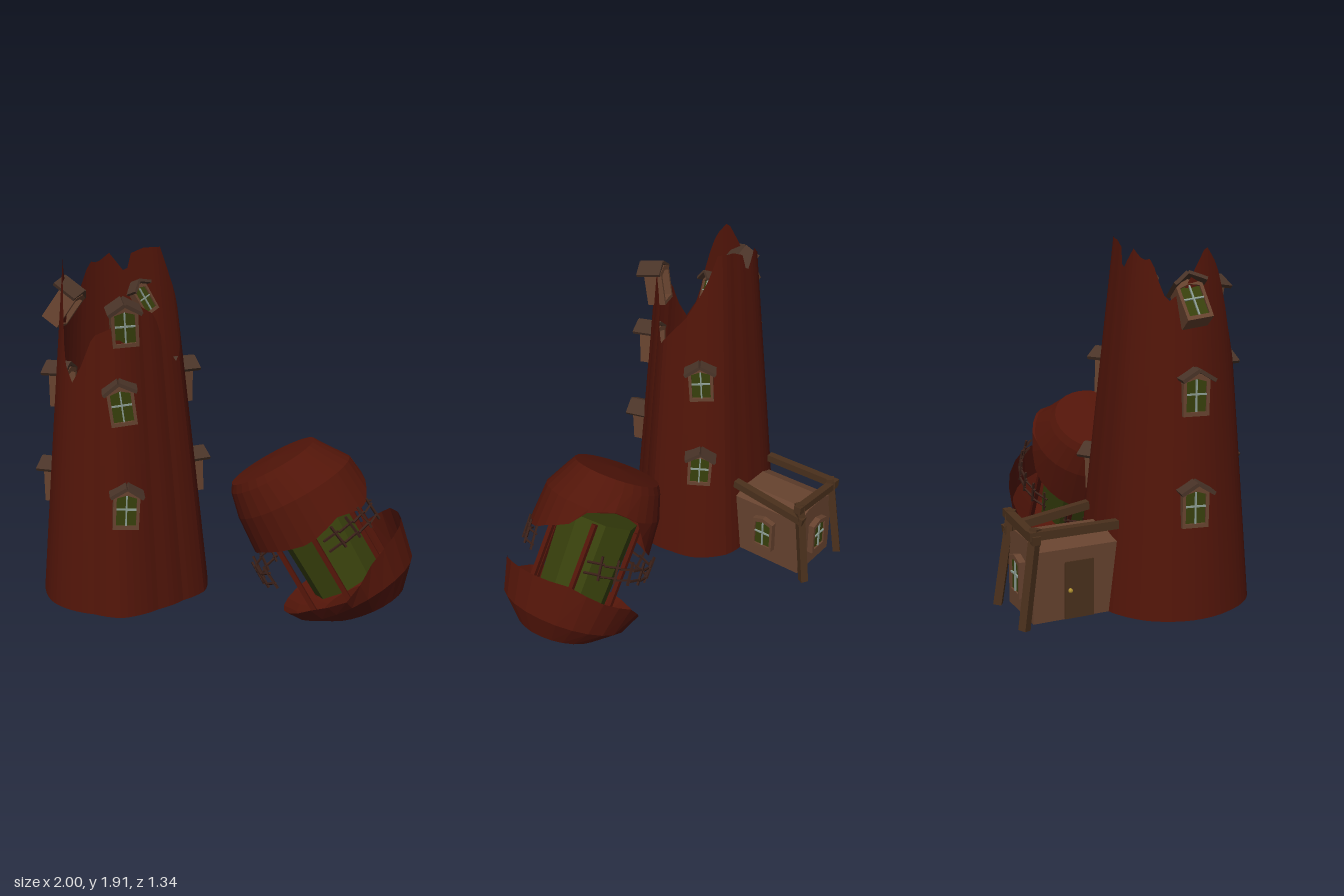
import * as THREE from 'three';

const mat = (color) => new THREE.MeshStandardMaterial({ color, flatShading: true, side: THREE.DoubleSide });
const RED = mat(0x521509), WALL = mat(0x67432f), BEAM = mat(0x4a301c), SHINGLE = mat(0x4a3428);
const GREEN = mat(0x38400c), GREY = mat(0x8a9a90), BRASS = mat(0xb09030), IRON = mat(0x3a2018);
const rad = THREE.MathUtils.degToRad;

// Value at an angle, from [degrees, value] pairs around the circle
function around(keys, deg) {
  const n = keys.length, d = ((deg % 360) + 360) % 360;
  for (let i = 0; i < n; i++) {
    const [a0, v0] = keys[i], a1 = i + 1 < n ? keys[i + 1][0] : keys[0][0] + 360, v1 = keys[(i + 1) % n][1];
    const q = d < keys[0][0] ? d + 360 : d;
    if (q >= a0 && q <= a1) return v0 + (v1 - v0) * (q - a0) / (a1 - a0);
  }
  return keys[0][1];
}

// Closed-round surface: point(deg, row) gives [x, y, z], rows run bottom to top
function loft(cols, rows, point) {
  const pos = [], idx = [];
  for (let j = 0; j < rows; j++)
    for (let i = 0; i < cols; i++) pos.push(...point(i * 360 / cols, j));
  for (let j = 0; j + 1 < rows; j++)
    for (let i = 0; i < cols; i++) {
      const k = (i + 1) % cols, a = j * cols + i, b = j * cols + k, c = a + cols, d = b + cols;
      idx.push(a, c, b, b, c, d);
    }
  const g = new THREE.BufferGeometry();
  g.setAttribute('position', new THREE.Float32BufferAttribute(pos, 3));
  g.setIndex(idx);
  g.computeVertexNormals();
  return g;
}

function add(parent, name, geo, material, x = 0, y = 0, z = 0) {
  const m = new THREE.Mesh(geo, material);
  m.name = name;
  m.position.set(x, y, z);
  parent.add(m);
  return m;
}
const box = (p, name, material, w, h, d, x, y, z) => add(p, name, new THREE.BoxGeometry(w, h, d), material, x, y, z);

// Square beam from point a to point b
function beam(parent, name, a, b, t, material = BEAM) {
  const A = new THREE.Vector3(...a), B = new THREE.Vector3(...b);
  const m = box(parent, name, material, t, A.distanceTo(B), t, 0, 0, 0);
  m.position.copy(A).add(B).multiplyScalar(0.5);
  m.quaternion.setFromUnitVectors(new THREE.Vector3(0, 1, 0), B.sub(A).normalize());
}

// Window facing +z, with an optional gabled hood
function makeWindow(hood = true, depth = 0.1) {
  const g = new THREE.Group();
  g.name = hood ? 'dormerWindow' : 'window';
  const s = new THREE.Shape();
  s.moveTo(-0.065, -0.1).lineTo(0.065, -0.1).lineTo(0.067, 0.085).lineTo(0, 0.105).lineTo(-0.067, 0.085);
  const hole = new THREE.Path();
  hole.moveTo(-0.05, -0.08).lineTo(-0.05, 0.065).lineTo(0, 0.08).lineTo(0.05, 0.065).lineTo(0.05, -0.08);
  s.holes.push(hole);
  add(g, 'windowFrame', new THREE.ExtrudeGeometry(s, { depth, bevelEnabled: false }), WALL, 0, 0, -depth);
  box(g, 'pane', GREEN, 0.105, 0.165, 0.01, 0, -0.005, -0.015);
  box(g, 'mullion', GREY, 0.008, 0.155, 0.01, 0, -0.002, -0.006);
  box(g, 'glazingBar', GREY, 0.1, 0.008, 0.01, 0, 0.005, -0.006);
  if (hood) for (const k of [-1, 1]) {
    const r = box(g, 'hoodSlab', SHINGLE, 0.095, 0.018, depth + 0.035, k * 0.042, 0.1, -depth / 2 + 0.02);
    r.rotation.z = -k * 0.55;
  }
  return g;
}

const CX = -0.53, CZ = 0.21;
const BASE = [[4, .45], [25, .39], [49, .38], [79, .43], [100, .4], [136, .42], [161, .42], [194, .44], [220, .45],
  [247, .44], [268, .42], [288, .43], [304, .47], [327, .48], [345, .455]];
const RIM = [[10, 1.38], [22, 1.48], [32, 1.63], [50, 1.68], [70, 1.66], [85, 1.58], [103, 1.54], [115, 1.39],
  [125, 1.3], [137, 1.4], [147, 1.66], [157, 1.81], [172, 1.9], [184, 1.81], [197, 1.7], [212, 1.64], [219, 1.72],
  [228, 1.84], [237, 1.83], [250, 1.88], [268, 1.77], [275, 1.88], [290, 1.91], [310, 1.92], [322, 1.76], [340, 1.58]];
const taper = (y) => y < 0.6 ? 1 - 0.21 * (y - 0.12) : y < 1.2 ? 0.9 - 0.217 * (y - 0.6) : 0.77 - 0.22 * (y - 1.2);

function towerPoint(deg, y, out = 0) {
  const r = around(BASE, deg) * taper(y) + out, a = rad(deg);
  return [CX + r * Math.cos(a), y, CZ + r * Math.sin(a)];
}

function makeTower() {
  const g = new THREE.Group();
  g.name = 'brokenTower';
  // Hollow trunk with splintered rim and closed bottom
  add(g, 'towerShell', loft(72, 6, (deg, j) => {
    if (j === 0) return [CX, 0.12, CZ];
    return towerPoint(deg, j === 5 ? around(RIM, deg) : [0, 0.12, 0.5, 0.9, 1.25][j]);
  }), RED);
  // Columns of windows: angle, height, distance from wall, roll, pitch
  const spots = [[70, 1.59, 0.03, 0.05, 0.15], [75, 1.21, 0.035, 0.12, 0.05], [74, 0.69, 0.04, -0.06, 0],
    [190, 1.66, 0.04, 0.15, -0.6], [188, 1.21, 0.025, 0, 0], [190, 0.68, 0.03, 0, 0],
    [-35, 1.22, 0.025, 0.06, 0], [-35, 0.71, 0.03, -0.05, 0]];
  for (const [deg, y, out, roll, pitch] of spots) {
    const w = makeWindow();
    w.position.set(...towerPoint(deg, y, out));
    w.rotation.set(pitch, Math.PI / 2 - rad(deg), roll, 'YXZ');
    g.add(w);
  }
  // Loose window inside the hollow top
  const loose = makeWindow(true, 0.05);
  loose.position.set(-0.4, 1.67, 0.11);
  loose.rotation.set(-0.35, 0.95, 0.35, 'YXZ');
  loose.scale.setScalar(0.8);
  g.add(loose);
  return g;
}

function makePorch() {
  const g = new THREE.Group();
  g.name = 'porch';
  const s = new THREE.Shape();
  s.moveTo(-0.16, 0).lineTo(0.16, 0).lineTo(0.17, 0.36).lineTo(0.08, 0.4).lineTo(-0.08, 0.4).lineTo(-0.17, 0.36);
  add(g, 'porchWalls', new THREE.ExtrudeGeometry(s, { depth: 0.47, bevelEnabled: false }), WALL, CX, 0.12, -0.595);
  for (const k of [-1, 1]) {
    const x = CX + k * 0.17;
    beam(g, 'roofBeam', [x, 0.57, -0.16], [x, k > 0 ? 0.5 : 0.57, -0.62], 0.042);
    beam(g, 'cornerPost', [x - k * 0.01, 0.6, -0.58], [x + k * 0.01, 0.11, -0.65], 0.042);
  }
  beam(g, 'crossBeam', [CX - 0.2, 0.55, -0.59], [CX + 0.2, 0.58, -0.59], 0.042);
  const back = makeWindow(false, 0.06);
  back.position.set(CX, 0.32, -0.63);
  back.rotation.y = Math.PI;
  const side = makeWindow(false, 0.06);
  side.position.set(-0.33, 0.32, -0.37);
  side.rotation.y = Math.PI / 2;
  g.add(back, side);
  box(g, 'door', BEAM, 0.03, 0.29, 0.15, -0.69, 0.27, -0.36);
  add(g, 'doorKnob', new THREE.SphereGeometry(0.012, 8, 6), BRASS, -0.71, 0.27, -0.41);
  return g;
}

function makeFallenHead() {
  const g = new THREE.Group();
  g.name = 'fallenLanternRoom';
  const domeRim = [[8, -.33], [30, -.4], [60, -.35], [90, -.4], [140, -.36], [180, -.38], [220, -.4], [250, -.36],
    [270, -.3], [285, -.17], [310, -.14], [335, -.18], [350, -.29]];
  const bowlRim = [[0, -.58], [40, -.6], [65, -.64], [85, -.74], [120, -.71], [180, -.73], [225, -.74], [270, -.62],
    [300, -.6], [330, -.56]];
  // Cracked dome, widest near its torn lower edge
  const dome = [[.345, -9], [.33, -.17], [.27, -.04], [.245, 0], [0, .015]];
  add(g, 'dome', loft(30, 5, (deg, j) => {
    const [r, h] = dome[j], a = rad(deg), y = Math.max(h, around(domeRim, deg));
    return [r * Math.cos(a) + (j < 2 ? 0.03 : 0), y, r * Math.sin(a) * 0.95 + 0.015];
  }), RED);
  // Bowl under the gallery
  const bowl = [[0, -.87], [.23, -.89], [.345, -.79], [.39, 0]];
  add(g, 'bowl', loft(24, 4, (deg, j) => {
    const [r, h] = bowl[j], a = rad(deg), x = r * Math.cos(a);
    return [x + 0.05, j === 3 ? around(bowlRim, deg) : h - (j < 2 ? 0.12 * x : 0), r * Math.sin(a)];
  }), RED);
  // Glazed core and its posts
  add(g, 'glassCore', new THREE.CylinderGeometry(0.21, 0.19, 0.5, 8), GREEN, 0.03, -0.5, 0);
  for (let i = 0; i < 6; i++) {
    const a = rad(i * 60 + 30), c = Math.cos(a), s = Math.sin(a);
    beam(g, 'post', [0.03 + 0.25 * c, -0.25, 0.25 * s], [0.04 + 0.25 * c, -0.8, 0.25 * s], 0.024, RED);
  }
  // Twisted gallery railing in broken stretches: start, end, drop, radius
  for (const [from, to, drop, r] of [[20, 80, 0, 0.35], [135, 215, 0.05, 0.39], [235, 325, 0, 0.35]]) {
    const at = (deg, y) => [0.03 + r * Math.cos(rad(deg)), y - drop, r * Math.sin(rad(deg))];
    for (let d = from; d < to; d += 15) {
      const e = Math.min(d + 15, to);
      for (const y of [-0.41, -0.47]) beam(g, 'rail', at(d, y), at(e, y - 0.008), 0.01, IRON);
      beam(g, 'baluster', at(d + 4, -0.37), at(d + 1, -0.5), 0.011, IRON);
    }
  }
  g.position.set(0.27, 0.845, 0.165);
  g.rotation.set(-0.05, 0, rad(30));
  return g;
}

export function createModel() {
  const model = new THREE.Group();
  model.name = 'ruinedTower';
  model.add(makeTower(), makePorch(), makeFallenHead());
  return model;
}
